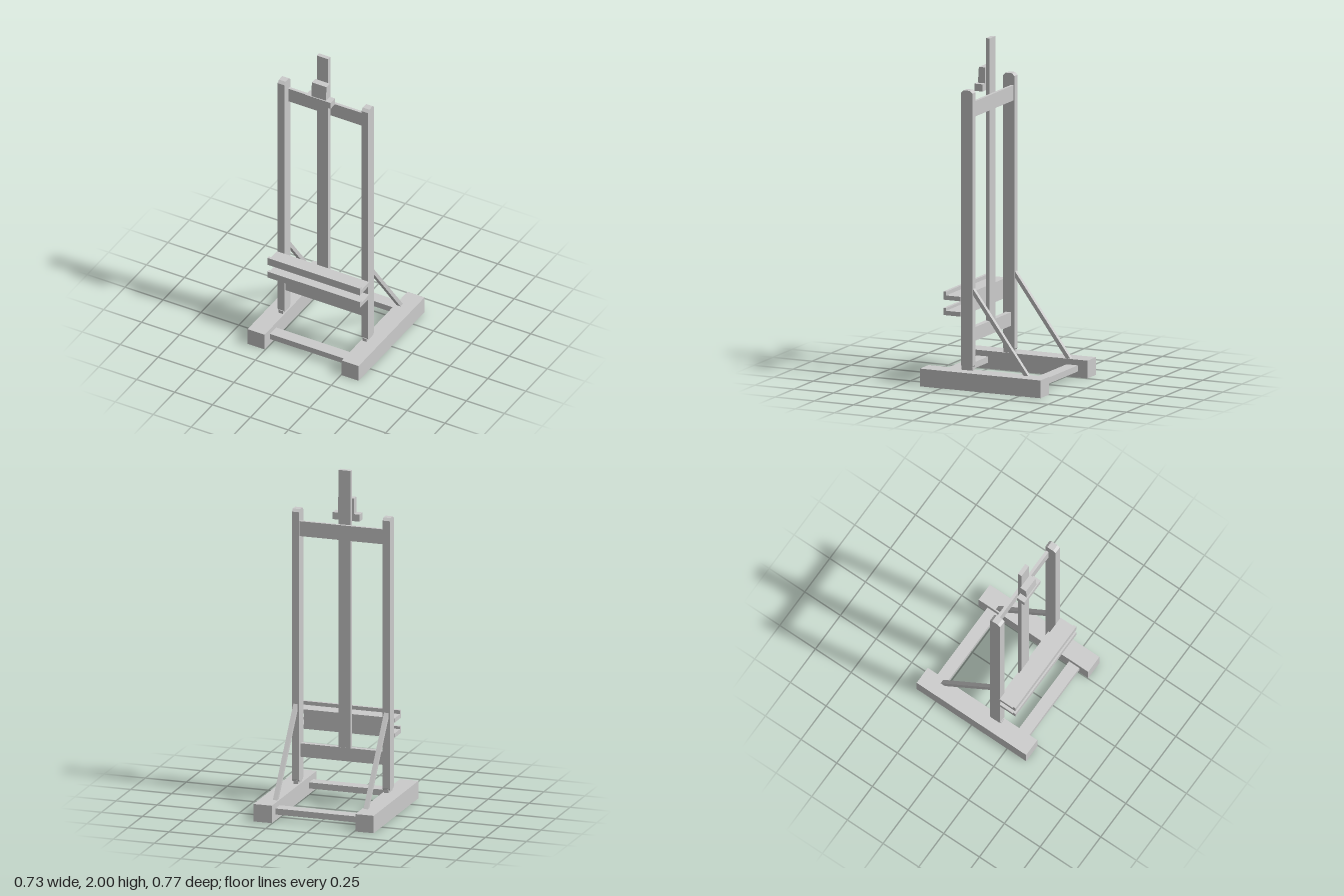
import * as THREE from 'three';

const material = new THREE.MeshStandardMaterial({ color: 0xcccccc, flatShading: true });

// Box given by its limits on each axis
function bar(name, [x0, x1], [y0, y1], [z0, z1]) {
  const geometry = new THREE.BoxGeometry(x1 - x0, y1 - y0, z1 - z0);
  geometry.translate((x0 + x1) / 2, (y0 + y1) / 2, (z0 + z1) / 2);
  const mesh = new THREE.Mesh(geometry, material);
  mesh.name = name;
  return mesh;
}

// Side profile of [z, y] points, extruded across x
function profile(name, points, x, width) {
  const shape = new THREE.Shape(points.map(([z, y]) => new THREE.Vector2(z, y)));
  const geometry = new THREE.ExtrudeGeometry(shape, { depth: width, bevelEnabled: false });
  geometry.translate(0, 0, -width / 2);
  geometry.rotateY(-Math.PI / 2);
  geometry.translate(x, 0, 0);
  const mesh = new THREE.Mesh(geometry, material);
  mesh.name = name;
  return mesh;
}

export function createModel() {
  const model = new THREE.Group();
  model.name = 'easel';

  // Feet, posts and diagonal braces on both sides
  for (const [side, s] of [['left', 1], ['right', -1]]) {
    const foot = s * 0.31 - 0.001;
    model.add(bar(side + 'Foot', [foot - 0.056, foot + 0.056], [0, 0.104], [-0.384, 0.384]));

    const x = s * 0.276 - 0.001;
    model.add(profile(side + 'Post', [
      [0.09, 0.12], [0.148, 0.12], [0.154, 0.131], [0.154, 1.73],
      [0.138, 1.745], [0.098, 1.745], [0.083, 1.73], [0.083, 0.131],
    ], x, 0.044));
    model.add(bar(side + 'PostTenon', [x - 0.014, x + 0.014], [0.1, 0.124], [0.085, 0.156]));
    model.add(profile(side + 'Brace', [
      [0.084, 0.585], [0.084, 0.548], [-0.241, 0.103], [-0.27, 0.103],
    ], x, 0.026));
  }

  // Base crossbars and the rails between the posts
  model.add(bar('frontCrossbar', [-0.256, 0.254], [0.035, 0.071], [0.25, 0.322]));
  model.add(bar('backCrossbar', [-0.256, 0.254], [0.035, 0.071], [-0.322, -0.25]));
  model.add(bar('topRail', [-0.256, 0.254], [1.587, 1.676], [0.088, 0.106]));
  model.add(bar('lowerRail', [-0.256, 0.254], [0.264, 0.344], [0.105, 0.137]));

  // Centre mast
  model.add(bar('mast', [-0.053, 0.021], [0.344, 2], [0.106, 0.131]));

  // Canvas tray: back plate with two lipped shelves
  const tray = new THREE.Group();
  tray.name = 'canvasTray';
  tray.add(bar('trayBack', [-0.25, 0.25], [0.42, 0.53], [0.154, 0.172]));
  for (const [name, y, lipTop] of [['upper', 0.508, 0.556], ['lower', 0.418, 0.46]]) {
    tray.add(bar(name + 'Shelf', [-0.304, 0.305], [y, y + 0.026], [0.154, 0.25]));
    tray.add(bar(name + 'ShelfLip', [-0.304, 0.305], [y, lipTop], [0.246, 0.264]));
  }
  model.add(tray);

  // Sliding canvas clamp on the mast
  const clamp = new THREE.Group();
  clamp.name = 'canvasClamp';
  clamp.add(profile('clampBlock', [
    [0.13, 1.735], [0.176, 1.735], [0.17, 1.83], [0.13, 1.83],
  ], -0.016, 0.096));
  clamp.add(bar('clampJaw', [-0.098, 0.066], [1.695, 1.737], [0.13, 0.182]));
  model.add(clamp);

  return model;
}
